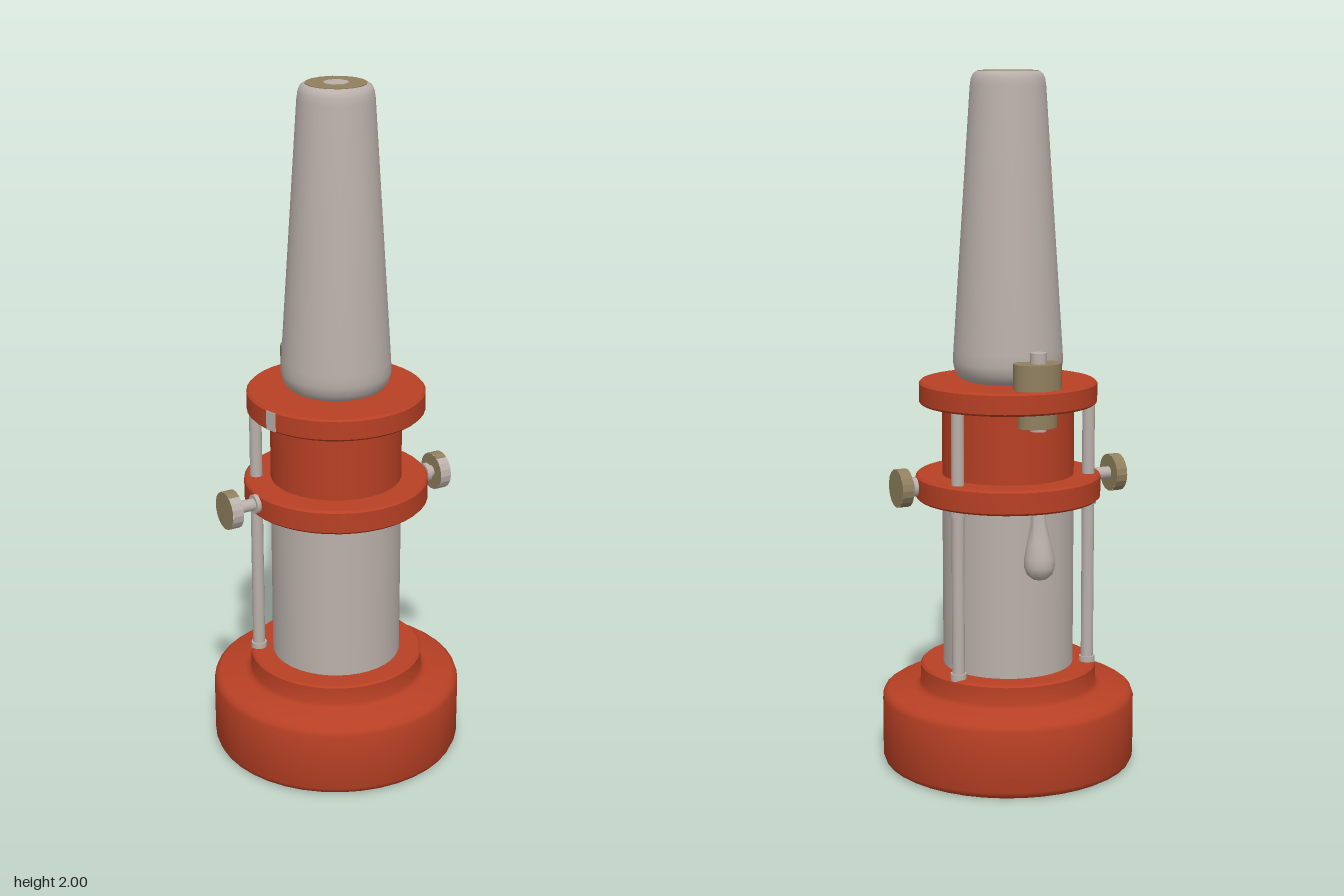
import * as THREE from 'three';
import { toCreasedNormals } from 'three/addons/utils/BufferGeometryUtils.js';

function flat(name, color) {
  const m = new THREE.MeshStandardMaterial({ color });
  m.name = name;
  return m;
}

export function createModel() {
  const red = flat('red paint', 0xb84024);
  const grey = flat('pale grey metal', 0xbab0aa);
  const tan = flat('tan brass', 0x91805f);
  const model = new THREE.Group();
  model.name = 'cylindricalInstrument';

  const add = (name, geo, mat, x = 0, y = 0, z = 0, parent = model) => {
    const mesh = new THREE.Mesh(geo, mat);
    mesh.name = name;
    mesh.position.set(x, y, z);
    parent.add(mesh);
    return mesh;
  };
  // Turned part from [radius, height] points, listed bottom to top
  const turned = (points, sides = 40) => toCreasedNormals(
    new THREE.LatheGeometry(points.map(([r, y]) => new THREE.Vector2(r, y)), sides), 0.7);
  // Straight post between two heights
  const post = (name, mat, r, y0, y1, x = 0, z = 0, sides = 16) =>
    add(name, new THREE.CylinderGeometry(r, r, y1 - y0, sides), mat, x, (y0 + y1) / 2, z);
  // Flange with softened rims
  const flange = (name, r, y0, y1) => add(name, turned([
    [0, y0], [r - 0.006, y0], [r, y0 + 0.006], [r, y1 - 0.006], [r - 0.006, y1], [0, y1],
  ]), red);

  // Foot with rounded edges and a stepped shoulder
  add('base', turned([
    [0.352, 0.002], [0.362, 0.008], [0.368, 0.022], [0.368, 0.195], [0.363, 0.21], [0.35, 0.219],
    [0.275, 0.222], [0.262, 0.228], [0.256, 0.24], [0.256, 0.29], [0.25, 0.296], [0, 0.296],
  ]), red);
  const sole = add('sole', new THREE.CircleGeometry(0.353, 40), grey, 0, 0.002, 0);
  sole.rotation.x = Math.PI / 2;

  // Barrel and its collars
  post('lowerBarrel', grey, 0.19, 0.29, 0.79, 0, 0, 40);
  flange('middleCollar', 0.267, 0.786, 0.857);
  post('upperBarrel', red, 0.19, 0.85, 1.07, 0, 0, 40);
  flange('topCollar', 0.256, 1.062, 1.127);

  // Small plate let into the rim of the top collar
  const a = 1.3;
  const plate = add('rimPlate', new THREE.BoxGeometry(0.035, 0.055, 0.008), grey,
    -Math.sin(a) * 0.254, 1.094, Math.cos(a) * 0.254);
  plate.rotation.y = -a;

  // Tapered nose with a round lower edge
  add('taperedNose', turned([
    [0, 1.125], [0.115, 1.127], [0.138, 1.137], [0.152, 1.155], [0.158, 1.182], [0.156, 1.215],
    [0.107, 1.955], [0.104, 1.976], [0.098, 1.99], [0.088, 1.997], [0, 1.997],
  ]), grey);
  post('noseCap', tan, 0.085, 1.99, 1.999, 0, 0, 16);
  post('noseCentre', grey, 0.036, 1.992, 2, 0, 0, 8);

  // Side tie rods with thicker feet
  for (const side of [-1, 1]) {
    const x = side * 0.205;
    post('lowerRod', grey, 0.018, 0.29, 0.79, x, -0.108);
    post('rodFoot', grey, 0.023, 0.29, 0.312, x, -0.108);
    post('rodHead', grey, 0.023, 0.768, 0.79, x, -0.108);
    post('upperRod', grey, 0.018, 0.85, 1.065, x, -0.108);
  }

  // Clamp and bolt at the back of the top collar
  const clamp = post('clampTop', tan, 0.07, 1.12, 1.2, 0, -0.194, 20);
  clamp.scale.z = 0.8;
  const under = post('clampUnderside', tan, 0.058, 1.02, 1.064, 0, -0.194, 20);
  under.scale.z = 0.75;
  post('clampBolt', grey, 0.023, 1.01, 1.23, 0, -0.2);

  // Drop-shaped lever hanging from the middle collar
  const lever = add('lever', turned([
    [0, 0], [0.02, 0.005], [0.036, 0.018], [0.044, 0.04], [0.043, 0.065],
    [0.034, 0.11], [0.024, 0.155], [0.02, 0.205],
  ], 20), grey, 0, 0.585, -0.212);
  lever.rotation.x = 0.06;

  // Thumbscrews: brass heads with a bright front sector
  for (const { x, z, stemEnd } of [
    { x: -0.351, z: 0.01, stemEnd: -0.25 },
    { x: 0.307, z: 0.06, stemEnd: 0.24 },
  ]) {
    const screw = new THREE.Group();
    screw.name = x < 0 ? 'rightThumbscrew' : 'leftThumbscrew';
    screw.position.set(x, 0.826, z);
    screw.rotation.z = x < 0 ? Math.PI / 2 : -Math.PI / 2;
    model.add(screw);
    const h = 0.034, r = 0.055, third = Math.PI / 3;
    const wall = (start, len, n) =>
      toCreasedNormals(new THREE.CylinderGeometry(r, r, h, n, 1, true, start, len), 0.2);
    add('headFront', wall(-third, 2 * third, 6), grey, 0, 0, 0, screw);
    add('headRim', wall(third, 4 * third, 12), tan, 0, 0, 0, screw);
    for (const s of [-1, 1]) {
      const face = add('headFace', new THREE.CircleGeometry(r, 18), tan, 0, s * h / 2, 0, screw);
      face.rotation.x = -s * Math.PI / 2;
    }
    const len = Math.abs(x - stemEnd);
    add('stem', new THREE.CylinderGeometry(0.018, 0.018, len, 14), grey, 0, -len / 2, 0, screw);
    add('stemCollar', new THREE.CylinderGeometry(0.028, 0.028, 0.014, 14), grey,
      0, 0.27 - Math.abs(x), 0, screw);
  }

  return model;
}
